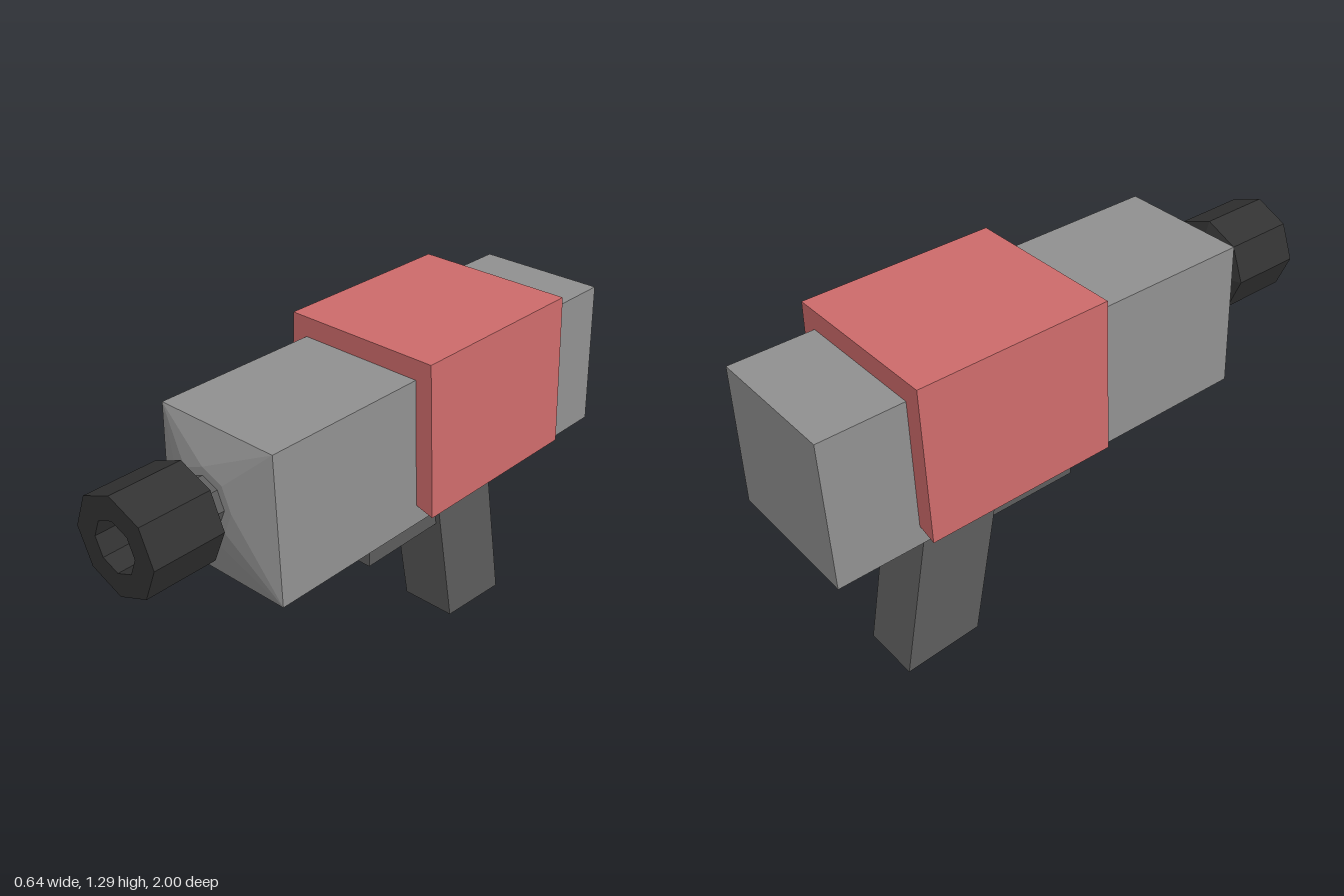
import * as THREE from 'three';

const bodyMat = new THREE.MeshStandardMaterial({ color: 0x8f8f8f });
const gripMat = new THREE.MeshStandardMaterial({ color: 0x5c5c5c });
const muzzleMat = new THREE.MeshStandardMaterial({ color: 0x323232 });
const shellMat = new THREE.MeshStandardMaterial({ color: 0xcc6a6a });
bodyMat.name = 'bodyGrey';
gripMat.name = 'gripGrey';
muzzleMat.name = 'muzzleBlack';
shellMat.name = 'shellRed';

const AXIS_Y = 1; // height of the barrel axis

function part(name, geometry, material) {
  const flat = geometry.index ? geometry.toNonIndexed() : geometry;
  flat.computeVertexNormals();
  const mesh = new THREE.Mesh(flat, material);
  mesh.name = name;
  return mesh;
}

function extrude(points, depth) {
  const shape = new THREE.Shape(points.map(([x, y]) => new THREE.Vector2(x, y)));
  return new THREE.ExtrudeGeometry(shape, { depth, bevelEnabled: false });
}

// (x, y) outline pushed from z0 to z1
const alongZ = (points, z0, z1) => extrude(points, z1 - z0).translate(0, 0, z0);

// (z, y) outline, centred across x
const acrossX = (points, width) =>
  extrude(points, width).translate(0, 0, -width / 2).rotateY(-Math.PI / 2);

// Eight-sided turned part along z; profile is [radius, z] from back to front
const turned = (profile) =>
  new THREE.LatheGeometry(profile.map(([r, z]) => new THREE.Vector2(r, z)), 8)
    .rotateX(Math.PI / 2).translate(0, AXIS_Y, 0);

// Nose: four body corners blended into an octagon
function noseGeometry(corners, z0, z1, radius) {
  const outer = corners.map(([x, y]) => [x, y, z0]);
  const ring = [];
  for (let i = 0; i < 8; i++) {
    const a = Math.PI / 4 * (i + 1); // odd steps face the corners
    ring.push([radius * Math.cos(a), AXIS_Y + radius * Math.sin(a), z1]);
  }
  const pos = [];
  const tri = (...pts) => pts.forEach((p) => pos.push(...p));
  for (let c = 0; c < 4; c++) {
    const a = outer[c], b = outer[(c + 1) % 4];
    const r0 = ring[c * 2], r1 = ring[c * 2 + 1], r2 = ring[(c * 2 + 2) % 8];
    tri(a, b, r1);
    tri(a, r1, r0);
    tri(b, r2, r1);
    tri([0, AXIS_Y, z1], r0, r1);
    tri([0, AXIS_Y, z1], r1, r2);
  }
  const g = new THREE.BufferGeometry();
  g.setAttribute('position', new THREE.Float32BufferAttribute(pos, 3));
  return g;
}

export function createModel() {
  const model = new THREE.Group();
  model.name = 'toyBlaster';

  // Main body, slightly wider at the bottom, counter-clockwise from upper right
  const section = [[0.235, 1.22], [-0.235, 1.22], [-0.255, 0.7], [0.255, 0.7]];
  model.add(part('body', alongZ(section, -1, 0.607), bodyMat));
  model.add(part('nose', noseGeometry(section, 0.607, 0.667, 0.115), bodyMat));

  // Red shell saddled over the body
  const saddle = [[0.293, 1.29], [-0.293, 1.29], [-0.32, 0.75], [-0.245, 0.772],
    [-0.2, 0.8], [0.2, 0.8], [0.245, 0.772], [0.32, 0.75]];
  model.add(part('shell', alongZ(saddle, -0.705, -0.01), shellMat));

  // Neck and hollow muzzle
  model.add(part('neck', turned([[0.086, 0.65], [0.086, 0.715]]), gripMat));
  model.add(part('muzzle', turned([[0, 0.71], [0.088, 0.71], [0.17, 0.742], [0.17, 1],
    [0.088, 1], [0.088, 0.9], [0, 0.9]]), muzzleMat));

  // Raked grip
  model.add(part('grip', acrossX([[-0.281, 0.72], [-0.571, 0.72], [-0.705, 0],
    [-0.41, 0.02]], 0.218), gripMat));

  // L-shaped trigger guard running into the grip
  model.add(part('triggerGuard', acrossX([[0.035, 0.72], [-0.055, 0.72], [-0.055, 0.58],
    [-0.36, 0.58], [-0.36, 0.47], [0.035, 0.47]], 0.176), gripMat));

  return model;
}
